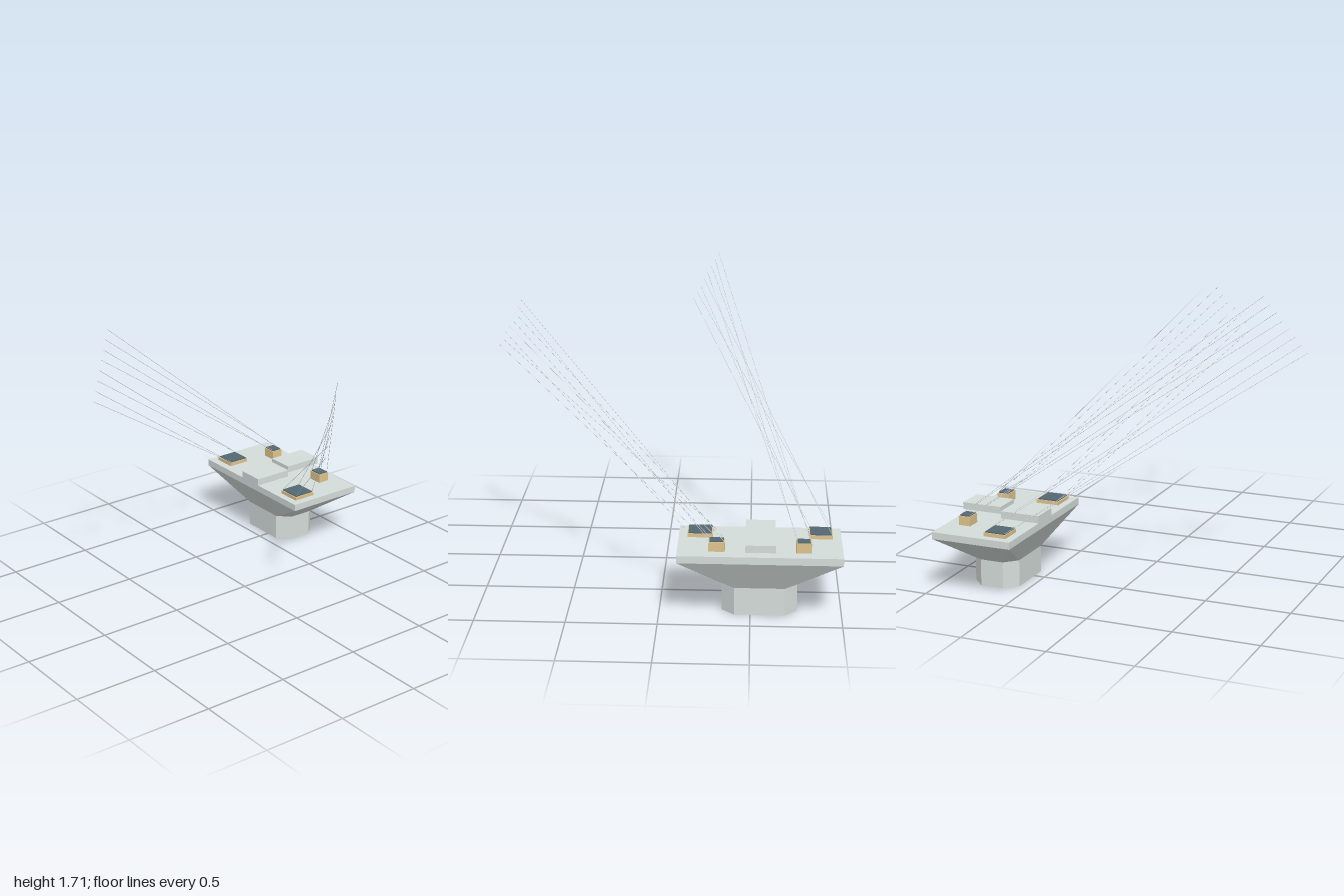
import * as THREE from 'three';
import { ConvexGeometry } from 'three/addons/geometries/ConvexGeometry.js';

const material = (name, color) => {
  const m = new THREE.MeshStandardMaterial({ color });
  m.name = name;
  return m;
};

export function createModel() {
  const concrete = material('concrete', 0xd5dddb);
  const tan = material('bearingTan', 0xe0c48e);
  const slate = material('plateSlate', 0x546873);
  const pale = material('paleLine', 0xe4e8ea);

  const model = new THREE.Group();
  model.name = 'bridgePier';

  const add = (name, geometry, mat, parent = model) => {
    const mesh = new THREE.Mesh(geometry, mat);
    mesh.name = name;
    parent.add(mesh);
    return mesh;
  };

  // Box given by its lower and upper limits
  const box = (name, [x0, x1], [y0, y1], [z0, z1], mat, parent) => {
    const mesh = add(name, new THREE.BoxGeometry(x1 - x0, y1 - y0, z1 - z0), mat, parent);
    mesh.position.set((x0 + x1) / 2, (y0 + y1) / 2, (z0 + z1) / 2);
  };

  // Chamfered column and the flared head above it
  const cx = -0.55, cz = -0.704;
  const octagon = (y) => {
    const points = [];
    for (const sx of [-1, 1]) for (const sz of [-1, 1]) {
      points.push(new THREE.Vector3(cx + sx * 0.207, y, cz + sz * 0.07));
      points.push(new THREE.Vector3(cx + sx * 0.138, y, cz + sz * 0.14));
    }
    return points;
  };
  const rectangle = (y) => [[-1, -1], [1, -1], [1, 1], [-1, 1]].map(
    ([sx, sz]) => new THREE.Vector3(cx + sx * 0.45, y, cz + sz * 0.241));
  add('column', new ConvexGeometry([...octagon(0), ...octagon(0.156)]), concrete);
  add('flaredHead', new ConvexGeometry([...octagon(0.156), ...rectangle(0.332)]), concrete);
  box('capSlab', [-1, -0.1], [0.332, 0.373], [-0.945, -0.463], concrete);

  // Middle blocks: the rear one stands clear of the slab
  box('frontBlock', [-0.635, -0.47], [0.373, 0.416], [-0.703, -0.463], concrete);
  box('rearBlock', [-0.635, -0.47], [0.4, 0.441], [-0.945, -0.703], concrete);

  // Bearing with a thin dark plate set in from its rim; returns the plate's corners
  const bearing = (name, x, z, top) => {
    const group = new THREE.Group();
    group.name = name;
    model.add(group);
    const inset = 0.006;
    const px = [x[0] + inset, x[1] - inset];
    const pz = [z[0] + inset, z[1] - inset];
    box('pedestal', x, [0.373, top - 0.006], z, tan, group);
    box('topPlate', px, [top - 0.006, top], pz, slate, group);
    return pz.flatMap((cornerZ) => px.map((cornerX) => new THREE.Vector3(cornerX, top, cornerZ)));
  };

  // Fine straight lines from the bearing corners to a row of evenly spaced ends
  const up = new THREE.Vector3(0, 1, 0);
  const lineFan = (name, starts, first, last) => {
    const group = new THREE.Group();
    group.name = name;
    model.add(group);
    starts.forEach((start, i) => {
      const end = first.clone().lerp(last, i / (starts.length - 1));
      const direction = end.clone().sub(start);
      const line = add('line', new THREE.CylinderGeometry(0.0013, 0.0013, direction.length(), 4), pale, group);
      line.position.copy(start).add(end).multiplyScalar(0.5);
      line.quaternion.setFromUnitVectors(up, direction.normalize());
    });
  };

  const rightCorners = [
    ...bearing('rightRearBearing', [-0.83, -0.745], [-0.867, -0.796], 0.433),
    ...bearing('rightFrontBearing', [-0.952, -0.821], [-0.644, -0.51], 0.4),
  ];
  const leftCorners = [
    ...bearing('leftRearBearing', [-0.359, -0.27], [-0.867, -0.796], 0.433),
    ...bearing('leftFrontBearing', [-0.289, -0.148], [-0.647, -0.507], 0.4),
  ];
  lineFan('rightLines', rightCorners,
    new THREE.Vector3(-0.28, 1.705, 0.74), new THREE.Vector3(-0.12, 1.375, 0.945));
  lineFan('leftLines', leftCorners,
    new THREE.Vector3(0.84, 1.56, 0.02), new THREE.Vector3(1, 1.24, 0.225));

  return model;
}
